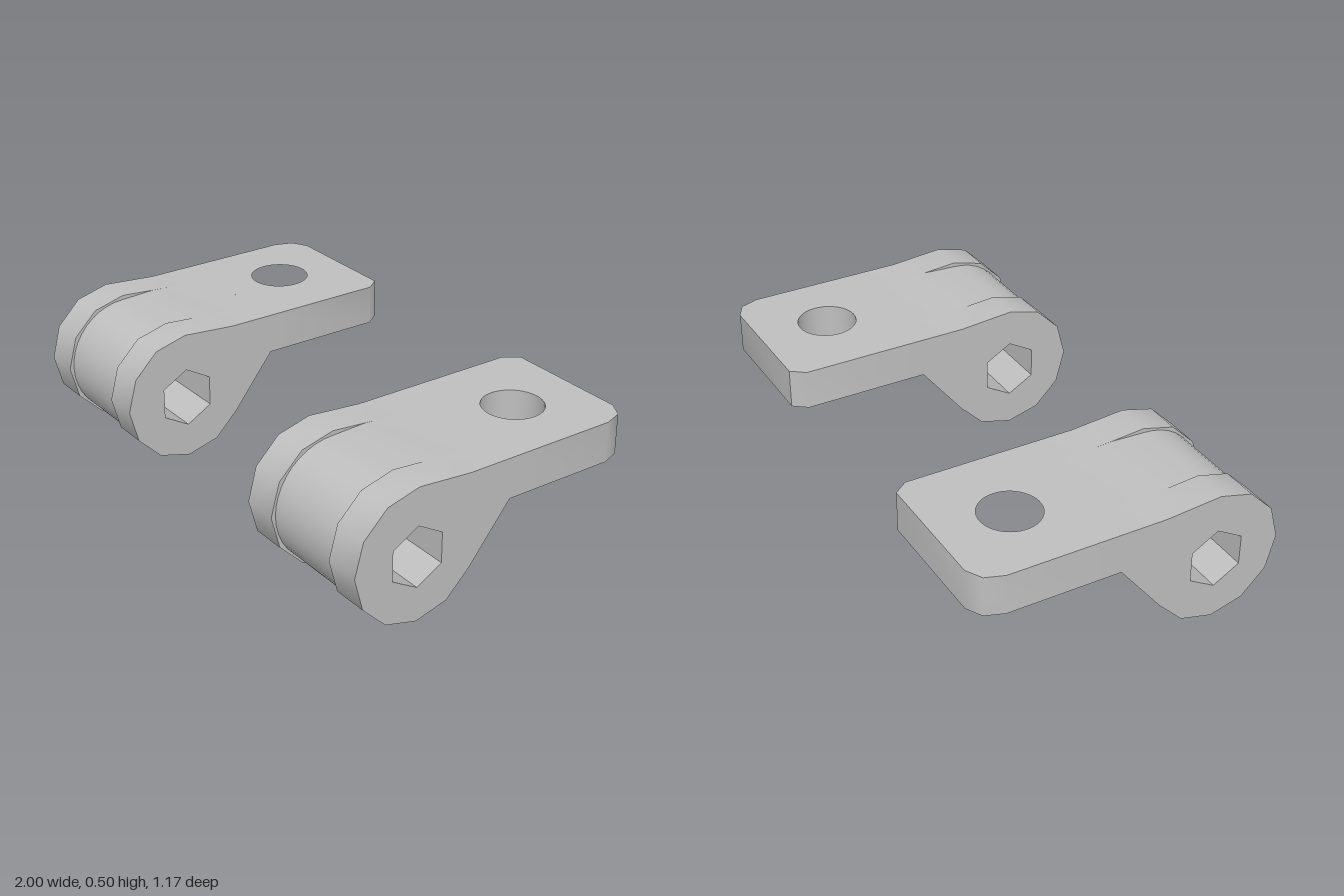
import * as THREE from 'three';
import { toCreasedNormals } from 'three/addons/utils/BufferGeometryUtils.js';

const PIN = { z: 0.332, y: 0.254 }; // axis of the barrel
const PLATE = { bottom: 0.335, top: 0.488, joint: -0.05 };

const metal = new THREE.MeshStandardMaterial({ color: 0xbfbfbf });
metal.name = 'grey metal';

function extrude(shape, depth) {
  return new THREE.ExtrudeGeometry(shape, { depth, bevelEnabled: false, curveSegments: 32 });
}

function addPart(group, name, geometry) {
  const mesh = new THREE.Mesh(toCreasedNormals(geometry, 0.75), metal);
  mesh.name = name;
  group.add(mesh);
}

// Side profile given as [z, y] points, pierced by the hexagonal pin hole, spanning x0..x1
function sideProfile(points, x0, x1) {
  const shape = new THREE.Shape(points.map(([z, y]) => new THREE.Vector2(-z, y)));
  const hex = [];
  for (let i = 0; i < 6; i++) {
    const a = Math.PI / 2 + i * Math.PI / 3;
    hex.push(new THREE.Vector2(-PIN.z + 0.115 * Math.cos(a), PIN.y - 0.006 + 0.115 * Math.sin(a)));
  }
  shape.holes.push(new THREE.Path(hex));
  return extrude(shape, x1 - x0).rotateY(Math.PI / 2).translate(x0, 0, 0);
}

// Outer cheek: twelve-sided eye running into the plate
function cheekPoints() {
  const pts = [[PLATE.joint, PLATE.bottom], [PLATE.joint, PLATE.top], [0.12, PLATE.top]];
  for (let i = 0; i <= 8; i++) {
    const a = Math.PI / 2 - i * Math.PI / 6;
    pts.push([PIN.z + 0.251 * Math.cos(a), PIN.y + 0.251 * Math.sin(a)]);
  }
  return pts;
}

// Middle barrel: slightly smaller round eye, open below the plate
function barrelPoints() {
  const r = 0.234, n = 32;
  const pts = [[PLATE.joint, PLATE.bottom], [PLATE.joint, PLATE.top], [0.12, PLATE.top], [0.2, 0.494]];
  const start = Math.PI / 2;
  const end = -Math.PI - Math.asin((PLATE.bottom - PIN.y) / r);
  for (let i = 0; i <= n; i++) {
    const a = start + (end - start) * i / n;
    pts.push([PIN.z + r * Math.cos(a), PIN.y + r * Math.sin(a)]);
  }
  return pts;
}

// Flat plate with clipped back corners and a round bolt hole
function plateGeometry(side) {
  const outline = [
    [0.4, PLATE.joint], [1, PLATE.joint], [1, -0.48], [0.975, -0.55],
    [0.915, -0.583], [0.44, -0.583], [0.4, -0.53],
  ];
  const shape = new THREE.Shape(outline.map(([x, z]) => new THREE.Vector2(side * x, -z)));
  const hole = new THREE.Path();
  hole.absarc(side * 0.712, 0.305, 0.112, 0, Math.PI * 2, true);
  shape.holes.push(hole);
  return extrude(shape, PLATE.top - PLATE.bottom)
    .rotateX(-Math.PI / 2).translate(0, PLATE.bottom, 0);
}

export function createModel() {
  const model = new THREE.Group();
  model.name = 'bracketPair';
  for (const side of [-1, 1]) {
    const bracket = new THREE.Group();
    bracket.name = side > 0 ? 'leftBracket' : 'rightBracket';
    const span = (points, a, b) =>
      sideProfile(points, Math.min(side * a, side * b), Math.max(side * a, side * b));
    addPart(bracket, 'plate', plateGeometry(side));
    addPart(bracket, 'innerCheek', span(cheekPoints(), 0.4, 0.537));
    addPart(bracket, 'barrel', span(barrelPoints(), 0.537, 0.863));
    addPart(bracket, 'outerCheek', span(cheekPoints(), 0.863, 1));
    model.add(bracket);
  }
  return model;
}
